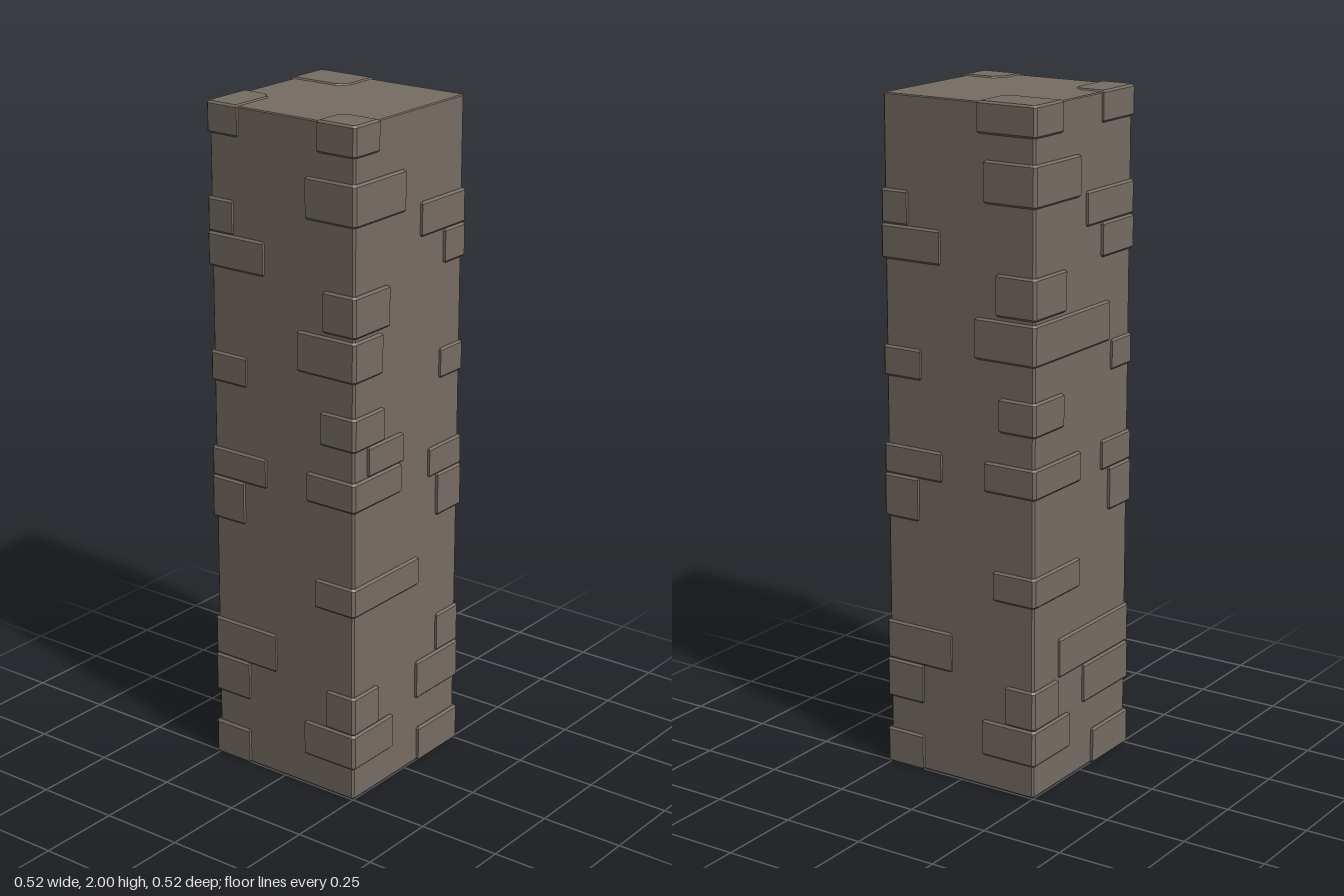
import * as THREE from 'three';

const CORE = 0.251; // half width of the shaft
const stone = new THREE.MeshStandardMaterial({ color: 0x766d64 });
stone.name = 'stone';

// Corner stones, one list per pillar edge: [bottom, top, length along x, length along z]
const edges = [
  { name: 'frontLeft', sx: 1, sz: 1, stones: [
    [0, 0.11, 0.2, 0.13], [0.21, 0.33, 0.21, 0.13], [0.33, 0.45, 0.11, 0.23],
    [0.77, 0.9, 0.12, 0.12], [0.9, 0.99, 0.16, 0.2], [1.19, 1.28, 0.11, 0.13],
    [1.53, 1.63, 0.1, 0.2], [1.63, 1.73, 0.21, 0.09],
  ] },
  { name: 'backRight', sx: -1, sz: -1, stones: [
    [0, 0.11, 0.2, 0.13], [0.21, 0.33, 0.25, 0.13], [0.33, 0.45, 0.38, 0.23],
    [0.77, 0.9, 0.12, 0.12], [0.9, 0.99, 0.16, 0.2], [1.19, 1.28, 0.11, 0.13],
    [1.53, 1.63, 0.17, 0.2], [1.63, 1.73, 0.25, 0.09], [1.91, 2, 0.17, 0.11],
  ] },
  { name: 'frontRight', sx: -1, sz: 1, stones: [
    [0.1, 0.21, 0.19, 0.18], [0.21, 0.33, 0.12, 0.1], [0.58, 0.67, 0.31, 0.14],
    [0.9, 0.99, 0.22, 0.17], [1.08, 1.18, 0.14, 0.12], [1.28, 1.4, 0.13, 0.2],
    [1.41, 1.53, 0.16, 0.11], [1.72, 1.84, 0.23, 0.17], [1.91, 2, 0.11, 0.13],
  ] },
  { name: 'backLeft', sx: 1, sz: -1, stones: [
    [0.1, 0.21, 0.19, 0.18], [0.21, 0.33, 0.13, 0.1], [0.58, 0.67, 0.24, 0.14],
    [0.9, 0.99, 0.24, 0.17], [1.08, 1.18, 0.15, 0.12], [1.28, 1.4, 0.39, 0.2],
    [1.41, 1.53, 0.16, 0.13], [1.72, 1.84, 0.23, 0.17], [1.91, 2, 0.14, 0.19],
  ] },
];

// Extrude a plan outline (x, z) upward with a small bevel kept inside the outline
function prism(points, y0, y1, bevel) {
  const shape = new THREE.Shape(points.map(([x, z]) => new THREE.Vector2(x, -z)));
  const geometry = new THREE.ExtrudeGeometry(shape, {
    depth: y1 - y0 - 2 * bevel, bevelEnabled: true, bevelSegments: 1,
    bevelThickness: bevel, bevelSize: bevel, bevelOffset: -bevel,
  });
  return geometry.rotateX(-Math.PI / 2).translate(0, y0 + bevel, 0);
}

// Block wrapping a pillar edge, with chipped plan corners
function cornerStone(sx, sz, [y0, y1, lx, lz], out) {
  const c = 0.008, cut = 0.03, xi = out - lx, zi = out - lz;
  const plan = [
    [xi, out], [out - c, out], [out, out - c], [out, zi],
    [xi + cut, zi], [xi, zi + cut],
  ];
  return prism(plan.map(([x, z]) => [x * sx, z * sz]), y0, y1, 0.006);
}

export function createModel() {
  const pillar = new THREE.Group();
  pillar.name = 'stonePillar';

  // Shaft with slightly chamfered edges
  const a = CORE, b = CORE - 0.006;
  const plan = [[b, a], [a, b], [a, -b], [b, -a], [-b, -a], [-a, -b], [-a, b], [-b, a]];
  const shaft = new THREE.Mesh(prism(plan, 0.002, 1.996, 0.003), stone);
  shaft.name = 'shaft';
  pillar.add(shaft);

  // Raised stones along the four edges, each standing out a little differently
  for (const { name, sx, sz, stones } of edges) {
    const group = new THREE.Group();
    group.name = `${name}CornerStones`;
    stones.forEach((size, i) => {
      const out = 0.26 - 0.001 * (i % 3);
      const mesh = new THREE.Mesh(cornerStone(sx, sz, size, out), stone);
      mesh.name = 'cornerStone';
      group.add(mesh);
    });
    pillar.add(group);
  }

  // Loose brick standing out of the front face
  const brick = new THREE.Mesh(
    prism([[-0.19, 0.2], [-0.03, 0.2], [-0.03, 0.259], [-0.19, 0.259]], 0.99, 1.08, 0.006), stone);
  brick.name = 'frontBrick';
  pillar.add(brick);

  return pillar;
}
